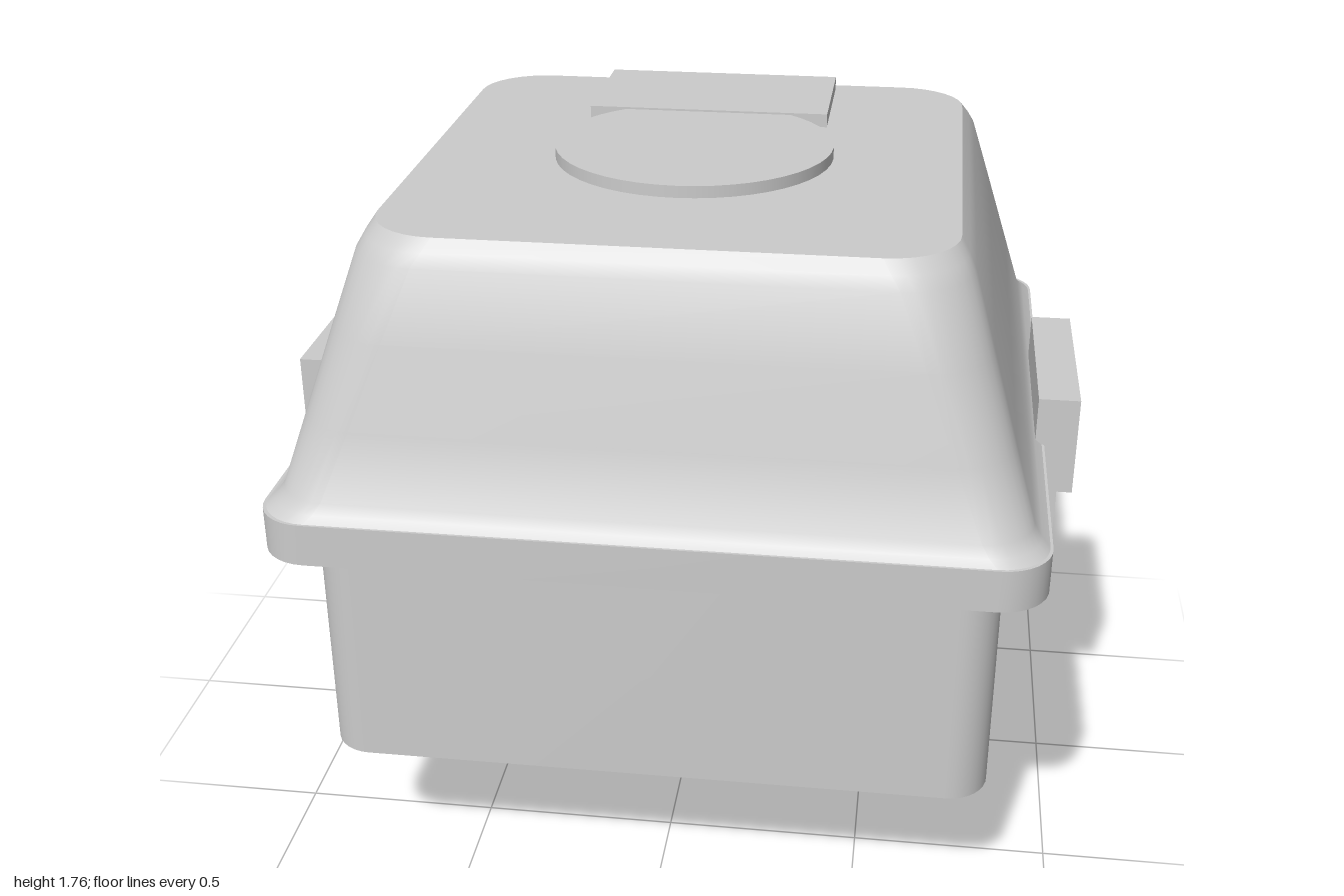
import * as THREE from 'three';
import { toCreasedNormals } from 'three/addons/utils/BufferGeometryUtils.js';

const material = new THREE.MeshStandardMaterial({ color: 0xcccccc });

// Closed loft through rounded rectangles: each ring is [y, halfX, halfZ, cornerRadius].
function loft(rings, cornerSegments = 8) {
  const positions = [], index = [];
  const n = 4 * (cornerSegments + 1);
  for (const [y, hx, hz, r] of rings) {
    for (let c = 0; c < 4; c++) {
      const sx = c === 0 || c === 3 ? 1 : -1;
      const sz = c < 2 ? 1 : -1;
      for (let i = 0; i <= cornerSegments; i++) {
        const a = (c + i / cornerSegments) * Math.PI / 2;
        positions.push(sx * (hx - r) + r * Math.cos(a), y, sz * (hz - r) + r * Math.sin(a));
      }
    }
  }
  for (let k = 0; k < rings.length - 1; k++) {
    for (let i = 0; i < n; i++) {
      const a = k * n + i, b = k * n + (i + 1) % n;
      index.push(a, a + n, b, b, a + n, b + n);
    }
  }
  // End caps
  const last = rings.length - 1;
  const bottom = positions.length / 3;
  positions.push(0, rings[0][0], 0, 0, rings[last][0], 0);
  for (let i = 0; i < n; i++) {
    const j = (i + 1) % n;
    index.push(bottom, i, j, bottom + 1, last * n + j, last * n + i);
  }
  const geometry = new THREE.BufferGeometry();
  geometry.setAttribute('position', new THREE.Float32BufferAttribute(positions, 3));
  geometry.setIndex(index);
  return toCreasedNormals(geometry, 0.5);
}

export function createModel() {
  const model = new THREE.Group();
  model.name = 'keyboardSwitch';

  const add = (name, geometry) => {
    const mesh = new THREE.Mesh(geometry, material);
    mesh.name = name;
    model.add(mesh);
    return mesh;
  };
  const box = (name, x0, x1, y0, y1, z0, z1) =>
    add(name, new THREE.BoxGeometry(x1 - x0, y1 - y0, z1 - z0))
      .position.set((x0 + x1) / 2, (y0 + y1) / 2, (z0 + z1) / 2);
  const cylinder = (name, r, x, z, y0, y1, segments = 32) =>
    add(name, new THREE.CylinderGeometry(r, r, y1 - y0, segments))
      .position.set(x, (y0 + y1) / 2, z);

  // Housing
  add('lowerHousing', loft([[0.395, 0.82, 0.82, 0.1], [0.965, 0.82, 0.82, 0.1]]));
  add('flange', loft([[0.99, 0.92, 0.92, 0.12], [1.095, 0.92, 0.92, 0.12]]));
  add('upperHousing', loft([
    [1.09, 0.92, 0.92, 0.12],
    [1.11, 0.895, 0.895, 0.12],
    [1.135, 0.877, 0.877, 0.12],
    [1.3, 0.826, 0.835, 0.135],
    [1.5, 0.764, 0.784, 0.15],
    [1.67, 0.711, 0.739, 0.165],
    [1.7, 0.695, 0.722, 0.17],
    [1.73, 0.675, 0.697, 0.17],
  ]));

  // Raised details on top
  cylinder('topDisc', 0.353, 0, 0, 1.72, 1.76, 48);
  box('topPlate', -0.318, 0.318, 1.72, 1.765, -0.655, -0.275);

  // Central post, running up through the gap between the housings, with its key
  cylinder('centrePost', 0.238, 0, 0, 0.04, 1.0, 48);
  box('postKey', -0.08, 0.08, 0.19, 1.0, 0.15, 0.32);

  // Contact pins
  cylinder('contactPinRight', 0.088, -0.455, -0.3, 0, 0.41);
  cylinder('contactPinLeft', 0.088, 0.3, -0.6, 0, 0.41);

  // Side clips, locating pegs and pads, mirrored
  for (const [side, s] of [['Left', 1], ['Right', -1]]) {
    const mirrored = (name, a, b, ...rest) =>
      box(name + side, Math.min(s * a, s * b), Math.max(s * a, s * b), ...rest);
    mirrored('upperClip', 0.897, 1.0, 0.965, 1.22, -0.27, 0.27);
    mirrored('lowerClip', 0.89, 0.97, 0.775, 0.94, -0.175, 0.175);
    mirrored('pegPad', 0.405, 0.512, 0.37, 0.41, -0.13, 0.13);
    cylinder('locatingPeg' + side, 0.1, s * 0.603, 0, 0.085, 0.41);
  }
  return model;
}
